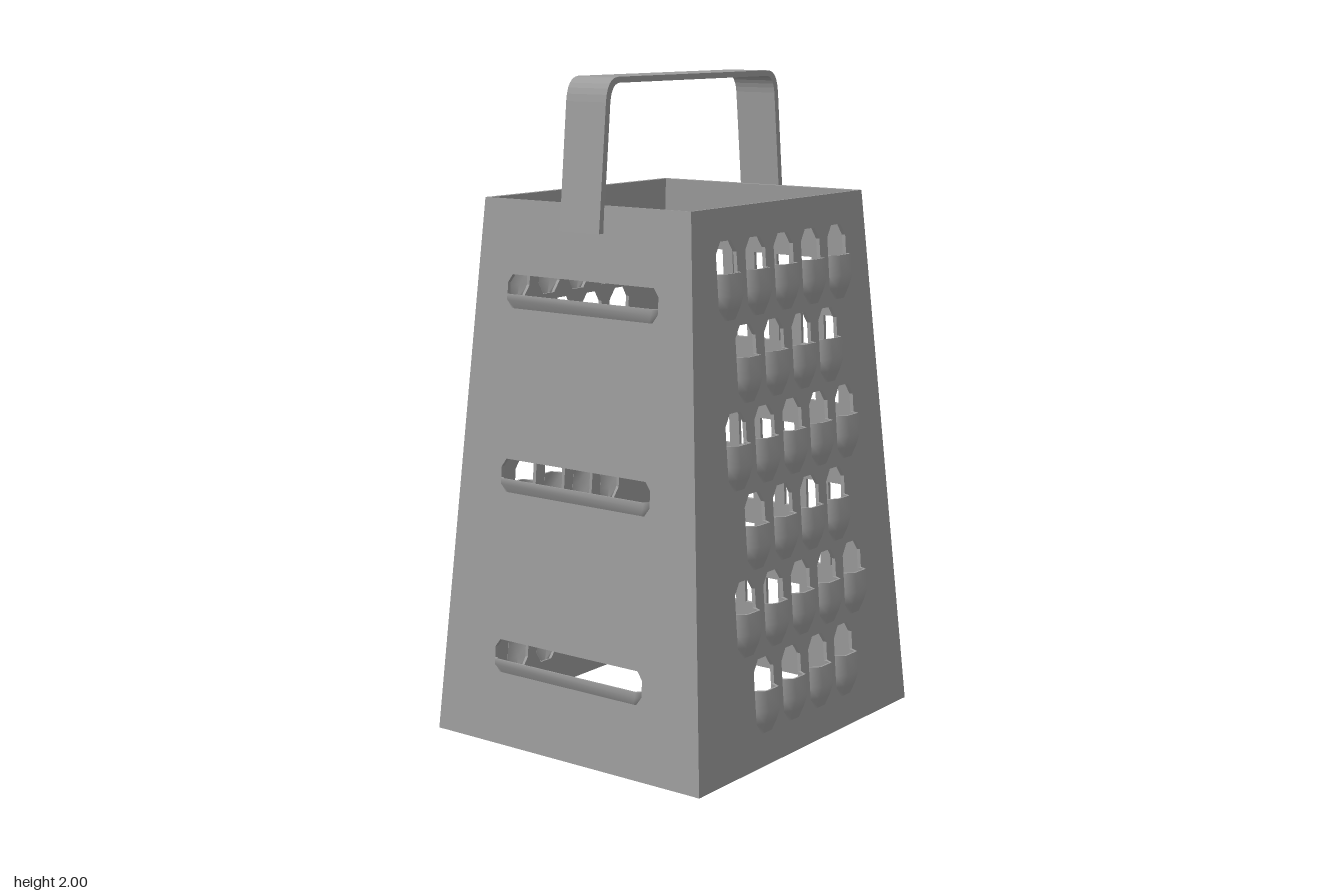
import * as THREE from 'three';
import { mergeGeometries } from 'three/addons/utils/BufferGeometryUtils.js';

const HEIGHT = 1.64, INSET = 0.12, THICK = 0.012;
const TILT = Math.atan2(INSET, HEIGHT);
const SLANT = Math.hypot(INSET, HEIGHT) / HEIGHT; // height -> distance along the wall

// Surface through rows of points, smooth shaded
function grid(rows, flip) {
  const n = rows[0].length, index = [];
  for (let i = 0; i < rows.length - 1; i++) {
    for (let j = 0; j < n - 1; j++) {
      const a = i * n + j, b = a + 1, c = a + n, d = c + 1;
      index.push(...(flip ? [a, c, b, b, c, d] : [a, b, c, b, d, c]));
    }
  }
  const g = new THREE.BufferGeometry();
  g.setAttribute('position', new THREE.Float32BufferAttribute(rows.flat(2), 3));
  g.setIndex(index);
  g.computeVertexNormals();
  return g;
}

// Raised blade: sections are [height, half width, outward bulge], opening at the top
function bladeGeometry(sections, bevel, skin) {
  const rows = (inset) => sections.map(([v, hw, w]) => {
    const b = hw - inset, f = hw - bevel - inset * 0.5;
    return [[-b, v, -inset], [-f, v, w - inset], [f, v, w - inset], [b, v, -inset]];
  });
  const outer = rows(0), inner = rows(skin);
  return mergeGeometries([
    grid(outer),
    grid(inner, true),
    grid([outer.at(-1), inner.at(-1)]), // cutting rim
  ]);
}

// Hole with chamfered corners
function holePath(u, v, hw, hh, cx, cy) {
  const pts = [
    [hw - cx, -hh], [hw, -hh + cy], [hw, hh - cy], [hw - cx, hh],
    [-hw + cx, hh], [-hw, hh - cy], [-hw, -hh + cy], [-hw + cx, -hh],
  ];
  return new THREE.Path(pts.map(([x, y]) => new THREE.Vector2(u + x, v + y)));
}

function rectPath(u, v, hw, hh) {
  return new THREE.Path([[-hw, -hh], [hw, -hh], [hw, hh], [-hw, hh]]
    .map(([x, y]) => new THREE.Vector2(u + x, v + y)));
}

export function createModel() {
  const model = new THREE.Group();
  model.name = 'boxGrater';
  const steel = new THREE.MeshStandardMaterial({ color: 0x9c9c9c, side: THREE.DoubleSide });
  steel.name = 'steel grey';

  // Tilted wall; local x runs across, y up the slope, z outward
  function addWall(name, angle, distance, halfBottom, holes) {
    const halfTop = halfBottom - INSET, top = HEIGHT * SLANT;
    const shape = new THREE.Shape([
      new THREE.Vector2(-halfBottom, 0), new THREE.Vector2(halfBottom, 0),
      new THREE.Vector2(halfTop, top), new THREE.Vector2(-halfTop, top),
    ]);
    shape.holes.push(...holes);
    const g = new THREE.ExtrudeGeometry(shape, { depth: THICK, bevelEnabled: false });
    g.translate(0, 0, -THICK);
    const wall = new THREE.Group();
    wall.name = name;
    wall.rotation.order = 'YXZ';
    wall.rotation.set(-TILT, angle, 0);
    wall.position.set(Math.sin(angle) * distance, 0, Math.cos(angle) * distance);
    const panel = new THREE.Mesh(g, steel);
    panel.name = name + 'Panel';
    wall.add(panel);
    model.add(wall);
    return wall;
  }

  function addBlades(wall, name, geometry, places) {
    for (const [u, v] of places) {
      const blade = new THREE.Mesh(geometry, steel);
      blade.name = name;
      blade.position.set(u, v, 0);
      wall.add(blade);
    }
  }

  // Coarse grating walls: staggered rows of five and four scoops
  const coarse = [];
  for (let row = 0; row < 6; row++) {
    const count = row % 2 ? 5 : 4;
    for (let i = 0; i < count; i++) {
      coarse.push([(i - (count - 1) / 2) * 0.143, (0.211 + row * 0.2445) * SLANT]);
    }
  }
  const scoop = bladeGeometry([
    [-0.113, 0.026, 0], [-0.078, 0.05, 0.017], [-0.04, 0.05, 0.033], [0.022, 0.05, 0.03],
  ], 0.02, 0.007);
  for (const [name, angle] of [['frontWall', 0], ['backWall', Math.PI]]) {
    const holes = coarse.map(([u, v]) => holePath(u, v, 0.05, 0.113, 0.024, 0.035));
    addBlades(addWall(name, angle, 0.5, 0.56, holes), 'scoopBlade', scoop, coarse);
  }

  // Fine grating wall: grid of small slots
  const fine = [];
  for (let row = 0; row < 7; row++) {
    for (let col = -3; col <= 3; col++) {
      fine.push(rectPath(col * 0.0865, (0.272 + row * 0.183) * SLANT, 0.024, 0.05));
    }
  }
  addWall('leftWall', Math.PI / 2, 0.56, 0.5, fine);

  // Slicing wall: three long slits with raised lips
  const slits = [0.272, 0.821, 1.37].map((y) => [0, y * SLANT]);
  const slicer = bladeGeometry([
    [-0.05, 0.262, 0], [-0.025, 0.28, 0.015], [-0.008, 0.28, 0.015],
  ], 0.012, 0.006);
  const slicerWall = addWall('rightWall', -Math.PI / 2, 0.56, 0.5,
    slits.map(([u, v]) => holePath(u, v, 0.28, 0.05, 0.018, 0.025)));
  addBlades(slicerWall, 'slicerBlade', slicer, slits);

  // Handle: bent flat strip
  const strip = new THREE.Shape();
  strip.moveTo(0.465, 1.56);
  strip.lineTo(0.43, 1.93);
  strip.quadraticCurveTo(0.423, 1.998, 0.375, 2);
  strip.lineTo(-0.375, 2);
  strip.quadraticCurveTo(-0.423, 1.998, -0.43, 1.93);
  strip.lineTo(-0.465, 1.56);
  strip.lineTo(-0.445, 1.56);
  strip.lineTo(-0.41, 1.93);
  strip.quadraticCurveTo(-0.403, 1.98, -0.37, 1.983);
  strip.lineTo(0.37, 1.983);
  strip.quadraticCurveTo(0.403, 1.98, 0.41, 1.93);
  strip.lineTo(0.445, 1.56);
  const handleGeometry = new THREE.ExtrudeGeometry(strip, {
    depth: 0.146, bevelEnabled: false, curveSegments: 6,
  });
  handleGeometry.translate(0, 0, -0.073);
  const handle = new THREE.Mesh(handleGeometry, steel);
  handle.name = 'handle';
  model.add(handle);

  return model;
}
